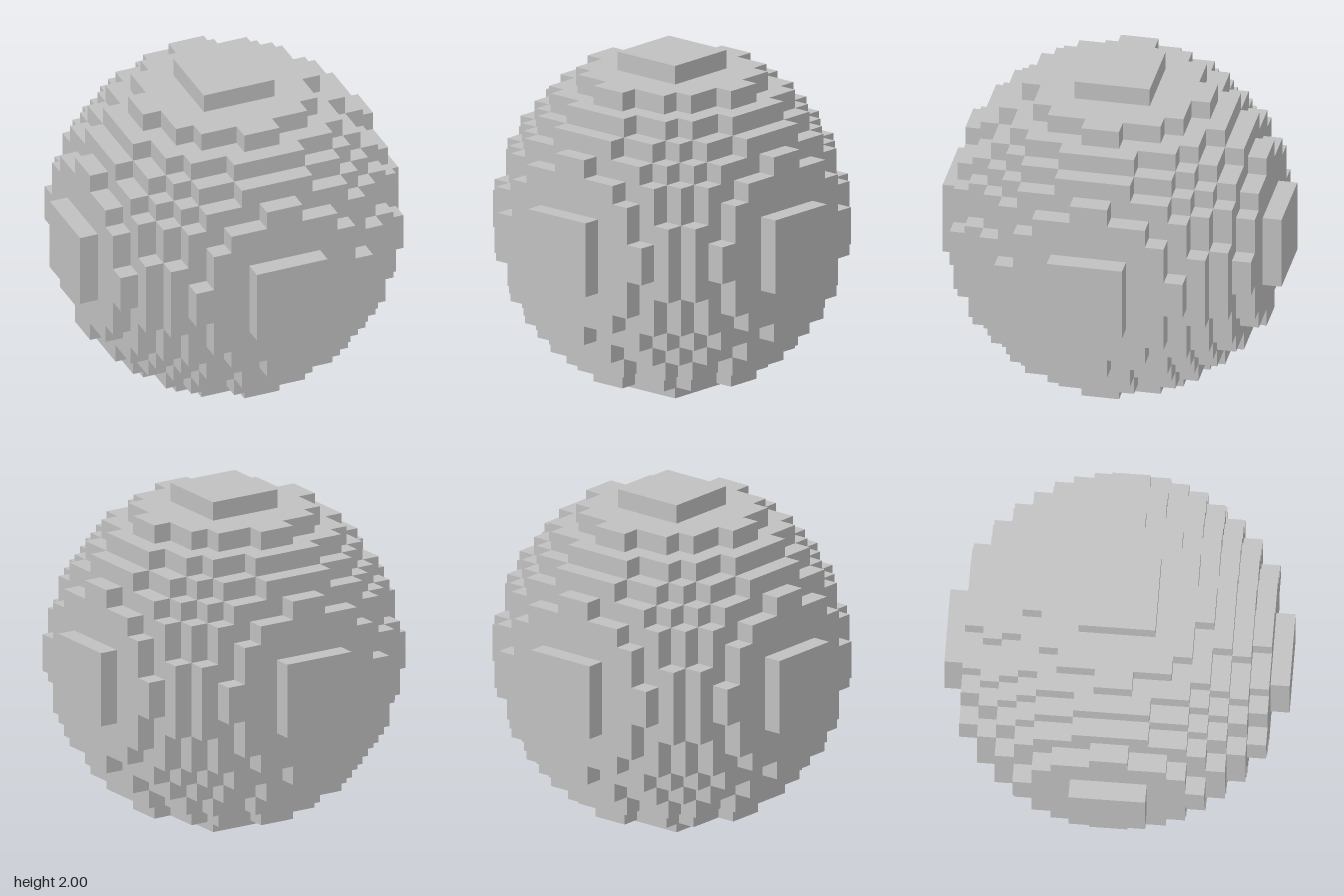
import * as THREE from 'three';

const N = 18;            // blocks across the ball
const S = 2 / N;         // block size
const R2 = 77;           // squared radius in blocks

// A block is solid when its centre lies inside the sphere
function solid(cell) {
  return cell.reduce((sum, c) => sum + (c + 0.5) ** 2, 0) < R2;
}

// Only the outer faces of the blocks, as one closed stepped shell
function blockBallGeometry() {
  const positions = [], normals = [], indices = [];

  const addFace = (cell, axis, side) => {
    const u = (axis + 1) % 3, v = (axis + 2) % 3;
    const first = positions.length / 3;
    for (const [du, dv] of [[0, 0], [1, 0], [1, 1], [0, 1]]) {
      const p = [...cell];
      p[axis] += side > 0 ? 1 : 0;
      p[u] += du;
      p[v] += dv;
      positions.push(p[0] * S, p[1] * S, p[2] * S);
      const n = [0, 0, 0];
      n[axis] = side;
      normals.push(...n);
    }
    const order = side > 0 ? [0, 1, 2, 0, 2, 3] : [0, 2, 1, 0, 3, 2];
    indices.push(...order.map((i) => first + i));
  };

  const h = N / 2;
  for (let x = -h; x < h; x++)
    for (let y = -h; y < h; y++)
      for (let z = -h; z < h; z++) {
        const cell = [x, y, z];
        if (!solid(cell)) continue;
        for (let axis = 0; axis < 3; axis++)
          for (const side of [-1, 1]) {
            const next = [...cell];
            next[axis] += side;
            if (!solid(next)) addFace(cell, axis, side);
          }
      }

  const geometry = new THREE.BufferGeometry();
  geometry.setAttribute('position', new THREE.Float32BufferAttribute(positions, 3));
  geometry.setAttribute('normal', new THREE.Float32BufferAttribute(normals, 3));
  geometry.setIndex(indices);
  return geometry;
}

export function createModel() {
  const group = new THREE.Group();
  group.name = 'blockSphere';

  const grey = new THREE.MeshStandardMaterial({ color: 0xc0c0c0 });
  grey.name = 'light grey';

  const ball = new THREE.Mesh(blockBallGeometry(), grey);
  ball.name = 'steppedBall';
  ball.position.y = 1;
  group.add(ball);

  return group;
}
